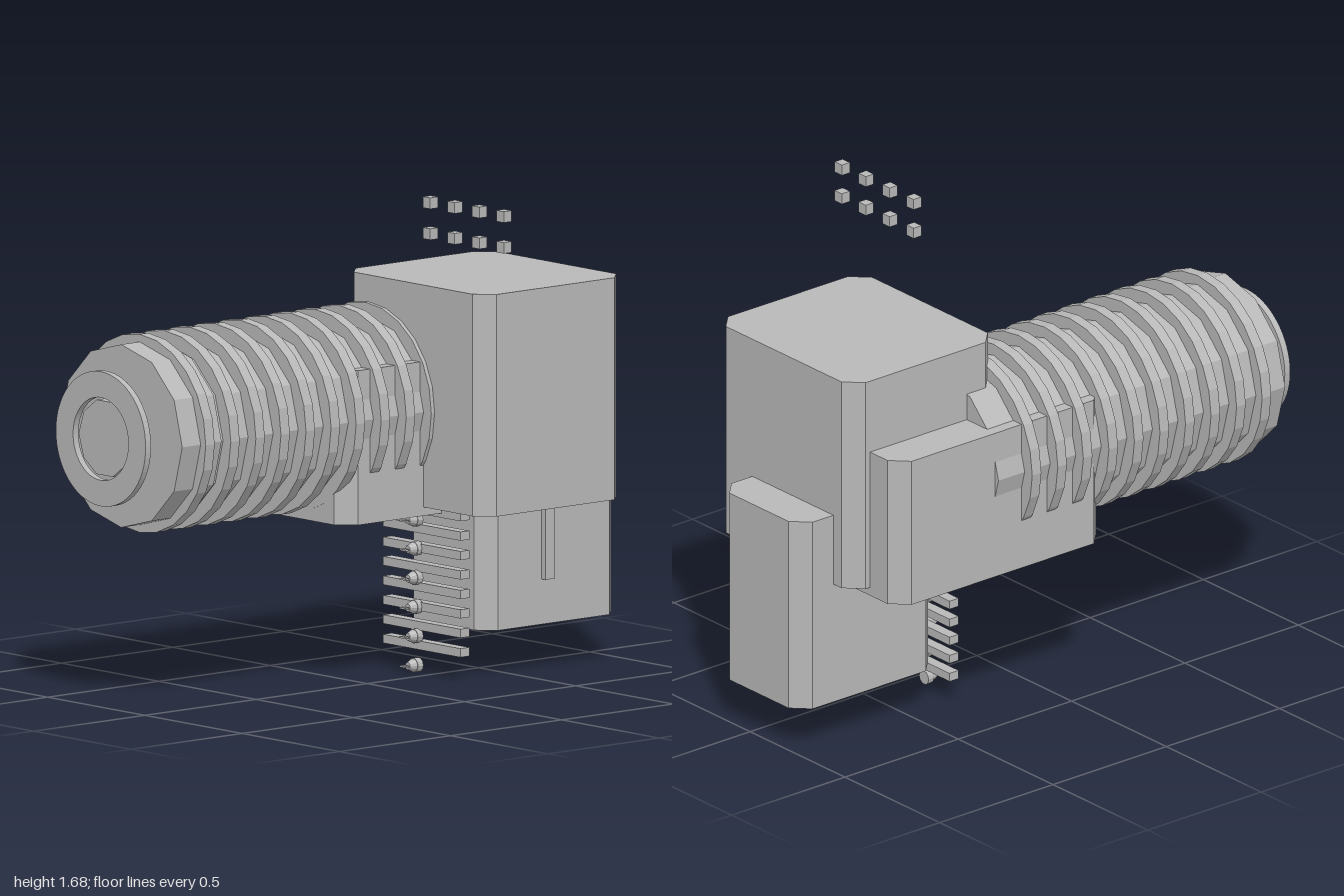
import * as THREE from 'three';

const grey = new THREE.MeshStandardMaterial({ color: 0xb8b8b8, flatShading: true });
grey.name = 'plain grey';

const AXIS_X = -0.227, AXIS_Y = 0.92;

export function createModel() {
  const model = new THREE.Group();
  model.name = 'machine';

  const add = (name, geometry, x = 0, y = 0, z = 0) => {
    const mesh = new THREE.Mesh(geometry, grey);
    mesh.name = name;
    mesh.position.set(x, y, z);
    model.add(mesh);
    return mesh;
  };

  const box = (name, [x0, x1], [y0, y1], [z0, z1]) =>
    add(name, new THREE.BoxGeometry(x1 - x0, y1 - y0, z1 - z0),
      (x0 + x1) / 2, (y0 + y1) / 2, (z0 + z1) / 2);

  // Upright block whose four vertical edges are cut off
  const chamferBox = (name, [x0, x1], [y0, y1], [z0, z1], c = 0.058) => {
    const w = (x1 - x0) / 2, d = (z1 - z0) / 2;
    const outline = [
      [-w + c, -d], [w - c, -d], [w, -d + c], [w, d - c],
      [w - c, d], [-w + c, d], [-w, d - c], [-w, -d + c],
    ].map(([x, y]) => new THREE.Vector2(x, y));
    const geometry = new THREE.ExtrudeGeometry(new THREE.Shape(outline), { depth: y1 - y0, bevelEnabled: false });
    geometry.rotateX(-Math.PI / 2);
    return add(name, geometry, (x0 + x1) / 2, y0, (z0 + z1) / 2);
  };

  // Cylinder lying along z, from z0 (back) to z1 (front)
  const drum = (name, x, y, z0, z1, rBack, rFront, sides, turn = 0) => {
    const geometry = new THREE.CylinderGeometry(rFront, rBack, z1 - z0, sides, 1, false, turn);
    geometry.rotateX(Math.PI / 2);
    return add(name, geometry, x, y, (z0 + z1) / 2);
  };

  // Main blocks
  chamferBox('head', [-0.36, 0.366], [0.59, 1.352], [-0.85, -0.204]);
  chamferBox('barrelCradle', [-0.51, 0.055], [0.56, 1.09], [-0.772, 0.148]);
  chamferBox('rearHousing', [-0.26, 0.168], [0.155, 0.845], [-1, -0.384]);
  box('sideRib', [0.15, 0.188], [0.31, 0.65], [-0.68, -0.637]);

  // Barrel with its collars
  drum('barrel', AXIS_X, AXIS_Y, -0.345, 0.75, 0.3, 0.3, 12);
  drum('barrelStep', AXIS_X, AXIS_Y, 0.725, 0.82, 0.307, 0.307, 12);
  drum('frontCollar', AXIS_X, AXIS_Y, 0.8, 0.908, 0.314, 0.314, 12);
  drum('neck', AXIS_X, AXIS_Y, 0.9, 0.982, 0.134, 0.134, 10, Math.PI / 2);

  // Cooling fins around the barrel
  for (let i = 0; i < 10; i++) {
    const z = 0.805 - i * 0.1127;
    drum('barrelFin', AXIS_X, AXIS_Y, z - 0.02, z + 0.02, 0.34, 0.34, 24);
  }

  // Front flange, open in the middle
  const flange = new THREE.Shape().absarc(0, 0, 0.231, 0, Math.PI * 2);
  flange.holes.push(new THREE.Path().absarc(0, 0, 0.142, 0, Math.PI * 2, true));
  add('frontFlange',
    new THREE.ExtrudeGeometry(flange, { depth: 0.024, bevelEnabled: false, curveSegments: 32 }),
    AXIS_X, AXIS_Y, 0.976);

  // Stack of slats below
  for (let i = 0; i < 8; i++) {
    const y = 0.093 + i * 0.0667;
    box('slat', [-0.245, 0.153], [y - 0.015, y + 0.015], [-0.325, -0.285]);
  }

  // Column of nozzles, each with a small flat blade in front
  for (let i = 0; i < 6; i++) {
    const y = 0.025 + i * 0.1;
    drum('nozzleBase', -0.07, y, -0.292, -0.268, 0.025, 0.025, 12);
    drum('nozzleTip', -0.07, y, -0.268, -0.243, 0.023, 0.013, 12);
    box('nozzleBlade', [-0.085, -0.055], [y - 0.003, y + 0.003], [-0.236, -0.22]);
  }

  // Two rows of small cubes
  for (const y of [1.552, 1.658]) {
    for (let i = 0; i < 4; i++) {
      const x = 0.171 + i * 0.126;
      box('button', [x - 0.019, x + 0.019], [y - 0.019, y + 0.019], [-0.152, -0.117]);
    }
  }

  return model;
}
